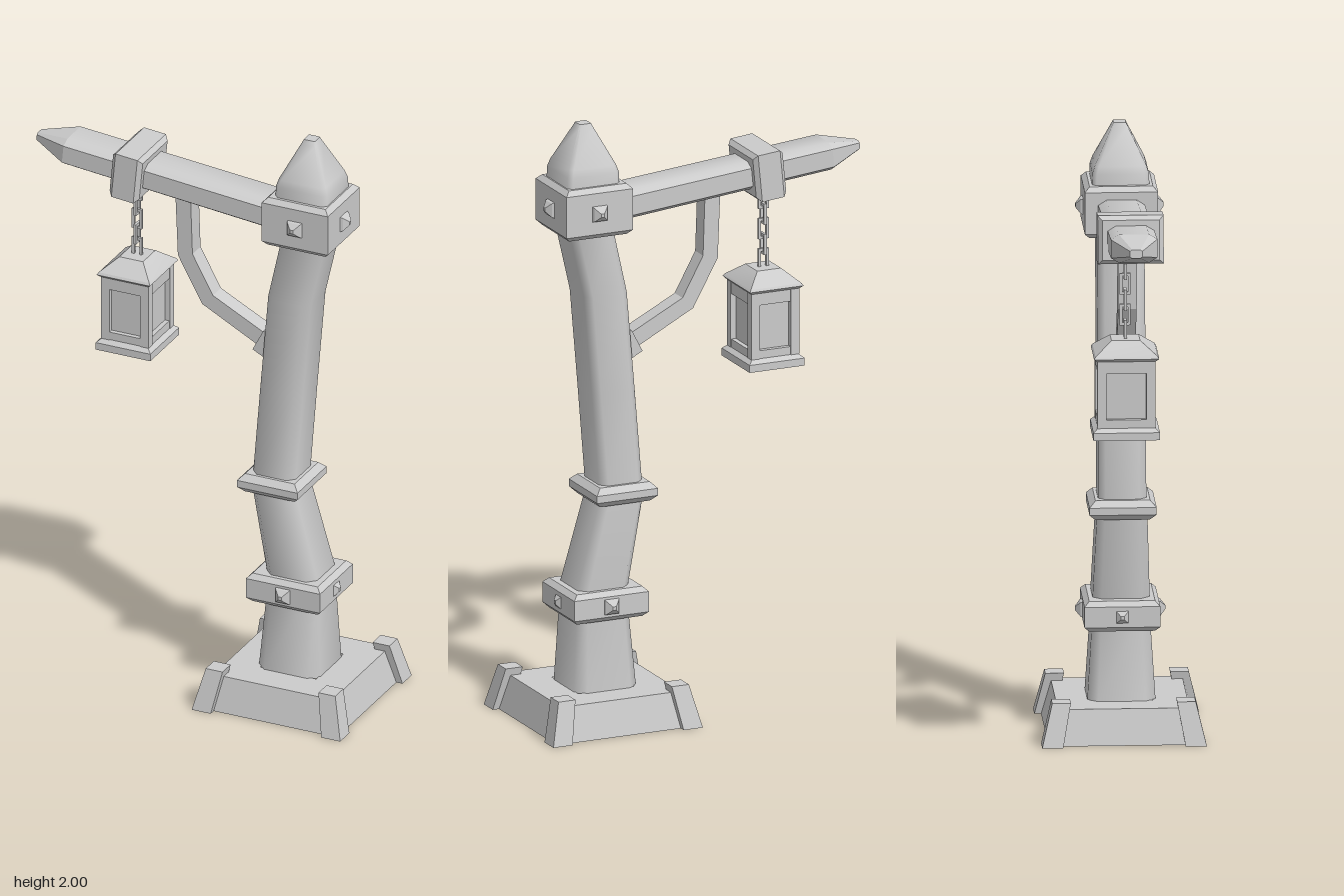
import * as THREE from 'three';
import { toCreasedNormals } from 'three/addons/utils/BufferGeometryUtils.js';

const grey = new THREE.MeshStandardMaterial({ color: 0xcccccc });
const greyBoth = new THREE.MeshStandardMaterial({ color: 0xcccccc, side: THREE.DoubleSide });

// Stacked rectangular rings along y. Row: [y, halfX, halfZ, centreX, centreZ].
// chamfer is the share of each half width cut off the corners (0 = plain square).
function loft(rows, { chamfer = 0, crease = 0.3, caps = true } = {}) {
  const k = 1 - chamfer;
  const section = chamfer
    ? [[1, -k], [1, k], [k, 1], [-k, 1], [-1, k], [-1, -k], [-k, -1], [k, -1]]
    : [[1, -1], [1, 1], [-1, 1], [-1, -1]];
  const n = section.length, pos = [], idx = [];
  for (const [y, hx, hz = hx, cx = 0, cz = 0] of rows)
    for (const [sx, sz] of section) pos.push(cx + sx * hx, y, cz + sz * hz);
  for (let r = 0; r < rows.length - 1; r++)
    for (let i = 0; i < n; i++) {
      const a = r * n + i, b = r * n + (i + 1) % n;
      idx.push(a, a + n, b, b, a + n, b + n);
    }
  if (caps) {
    const top = (rows.length - 1) * n;
    for (let i = 1; i < n - 1; i++) {
      idx.push(0, i, i + 1);
      idx.push(top, top + i + 1, top + i);
    }
  }
  const g = new THREE.BufferGeometry();
  g.setAttribute('position', new THREE.Float32BufferAttribute(pos, 3));
  g.setIndex(idx);
  return toCreasedNormals(g, crease);
}

function add(parent, name, geometry, x = 0, y = 0, z = 0, material = grey) {
  const m = new THREE.Mesh(geometry, material);
  m.name = name;
  m.position.set(x, y, z);
  parent.add(m);
  return m;
}

// Band with bevelled rims, centred on the origin
const band = (h, hx, hz, bevel) => loft([
  [-h, hx - bevel, hz - bevel], [-h + bevel, hx, hz],
  [h - bevel, hx, hz], [h, hx - bevel, hz - bevel]]);

// Pyramid studs on the chosen sides of a band
function addStuds(parent, x, y, reach, sides) {
  const stud = loft([[0, 0.028], [0.014, 0.023], [0.03, 0.006]]);
  for (const [sx, sz] of sides) {
    const m = add(parent, 'stud', stud, x + sx * reach, y, sz * reach);
    m.quaternion.setFromUnitVectors(new THREE.Vector3(0, 1, 0), new THREE.Vector3(sx, 0, sz));
  }
}

function makeLantern() {
  const g = new THREE.Group();
  g.name = 'lantern';
  const hx = 0.085, hz = 0.094;
  add(g, 'lanternBase', loft([[0, 0.0975, 0.107], [0.025, 0.0975, 0.107], [0.04, 0.08, 0.09]]));
  add(g, 'lanternCore', new THREE.BoxGeometry(0.134, 0.22, 0.152), 0, 0.15, 0);
  // Frame around the four panes
  const post = new THREE.BoxGeometry(0.03, 0.225, 0.03);
  for (const sx of [-1, 1])
    for (const sz of [-1, 1])
      add(g, 'lanternPost', post, sx * (hx - 0.015), 0.15, sz * (hz - 0.015));
  for (const [y, h] of [[0.05, 0.03], [0.24, 0.045]])
    add(g, 'lanternRail', new THREE.BoxGeometry(2 * hx - 0.004, h, 2 * hz - 0.004), 0, y, 0);
  add(g, 'lanternRoof', loft([[0.258, 0.085, 0.094], [0.268, 0.095, 0.105],
    [0.276, 0.09, 0.1], [0.318, 0.042, 0.046]]));
  return g;
}

// Flat rectangular chain link with a slot
function linkGeometry(w, h, t) {
  const rect = (C, a, b) => {
    const p = new C();
    p.moveTo(-a, -b); p.lineTo(a, -b); p.lineTo(a, b); p.lineTo(-a, b); p.closePath();
    return p;
  };
  const s = rect(THREE.Shape, w / 2, h / 2);
  s.holes.push(rect(THREE.Path, w / 2 - t, h / 2 - t));
  return new THREE.ExtrudeGeometry(s, { depth: t, bevelEnabled: false }).translate(0, 0, -t / 2);
}

export function createModel() {
  const root = new THREE.Group();
  root.name = 'lanternPost';

  // Hollow base with a sloping rim and four corner feet
  const bx = 0.335;
  add(root, 'base', loft([[0, 0.243], [0.115, 0.212], [0.115, 0.1]], { caps: false }), bx, 0, 0, greyBoth);
  for (const sx of [-1, 1])
    for (const sz of [-1, 1])
      add(root, 'baseFoot', loft([[0, 0.034, 0.034, sx * 0.231, sz * 0.231],
        [0.14, 0.03, 0.03, sx * 0.201, sz * 0.201]]), bx);

  // Crooked post
  add(root, 'post', loft([
    [0.11, 0.11, 0.11, 0.33], [0.4, 0.09, 0.092, 0.335], [0.45, 0.09, 0.092, 0.332],
    [0.72, 0.078, 0.082, 0.268], [0.78, 0.076, 0.078, 0.264], [1.1, 0.076, 0.077, 0.29],
    [1.43, 0.076, 0.077, 0.318], [1.66, 0.077, 0.077, 0.37]],
    { chamfer: 0.3, crease: 0.9, caps: false }), 0, 0, 0, greyBoth);

  // Bands and studs
  const all = [[1, 0], [-1, 0], [0, 1], [0, -1]];
  add(root, 'lowerBand', band(0.05, 0.132, 0.122, 0.016), 0.327, 0.4, 0);
  addStuds(root, 0.327, 0.4, 0.115, all);
  add(root, 'middleBand', band(0.032, 0.108, 0.108, 0.02), 0.264, 0.76, 0);
  add(root, 'headBand', band(0.085, 0.118, 0.118, 0.016), 0.367, 1.725, 0);
  addStuds(root, 0.367, 1.725, 0.112, [[1, 0], [0, 1], [0, -1]]);

  // Pointed cap
  add(root, 'cap', loft([[1.79, 0.093], [1.845, 0.091], [1.87, 0.083], [1.985, 0.027], [2, 0.02]],
    { chamfer: 0.15, crease: 0.9 }), 0.372, 0, 0);

  // Arm, built upright and tipped over to the right
  const arm = new THREE.Group();
  arm.name = 'arm';
  arm.position.set(0.3, 1.715, 0);
  arm.rotation.z = Math.PI / 2 - 0.096;
  root.add(arm);
  add(arm, 'armBeam', loft([[0, 0.049, 0.075], [0.785, 0.046, 0.075]], { chamfer: 0.35, crease: 0.9 }));
  add(arm, 'armTip', loft([[0.785, 0.046, 0.075], [0.905, 0.014, 0.02]], { chamfer: 0.35 }));
  add(arm, 'armBand', band(0.053, 0.079, 0.106, 0.014), 0, 0.549, 0);

  // Bent brace with mitred joints, and its foot on the post
  const path = [[-0.075, 1.74], [-0.066, 1.5], [0.014, 1.355], [0.235, 1.24]].map(p => new THREE.Vector2(...p));
  const edge = side => path.map((p, i) => {
    const d0 = path[Math.max(i, 1)].clone().sub(path[Math.max(i, 1) - 1]).normalize();
    const j = Math.min(i + 1, path.length - 1);
    const d1 = path[j].clone().sub(path[j - 1]).normalize();
    const t = d0.add(d1).normalize();
    return new THREE.Vector2(-t.y, t.x).multiplyScalar(side * 0.027).add(p);
  });
  const braceShape = new THREE.Shape([...edge(1), ...edge(-1).reverse()]);
  add(root, 'brace', new THREE.ExtrudeGeometry(braceShape, { depth: 0.06, bevelEnabled: false }), 0, 0, -0.03);
  const foot = add(root, 'braceFoot', new THREE.BoxGeometry(0.05, 0.085, 0.085), 0.222, 1.245, 0);
  foot.rotation.z = -0.48;

  // Chain of alternately turned links, and the lantern
  const lx = -0.259, lz = -0.017;
  const link = linkGeometry(0.036, 0.07, 0.009);
  for (let i = 0; i < 5; i++)
    add(root, 'chainLink', link, lx, 1.67 - i * 0.051, lz).rotation.y = i % 2 ? Math.PI / 2 : 0;
  const lantern = makeLantern();
  lantern.position.set(lx, 1.123, lz);
  root.add(lantern);

  return root;
}
